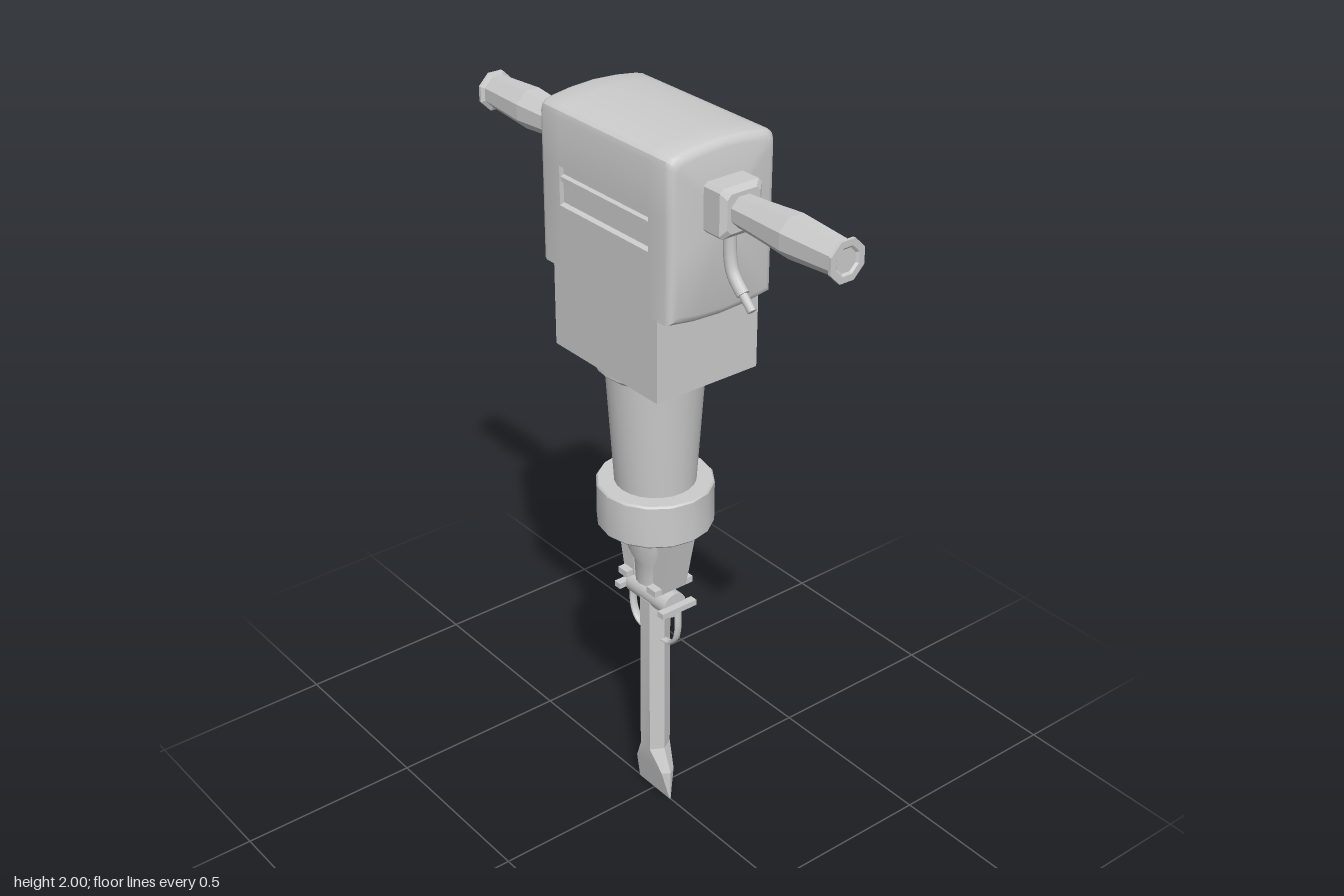
import * as THREE from 'three';
import { mergeVertices, toCreasedNormals } from 'three/addons/utils/BufferGeometryUtils.js';

const grey = new THREE.MeshStandardMaterial({ color: 0xcccccc });
const flat = new THREE.MeshStandardMaterial({ color: 0xcccccc, flatShading: true });

function add(parent, name, geometry, x = 0, y = 0, z = 0, material = grey) {
  const mesh = new THREE.Mesh(geometry, material);
  mesh.name = name;
  mesh.position.set(x, y, z);
  parent.add(mesh);
  return mesh;
}

// Skin equal-length rings of [x, y, z] points and cap both ends with fans
function loft(rings, crease = 0.6) {
  const n = rings[0].length, points = rings.flat(), faces = [];
  for (let r = 0; r < rings.length - 1; r++) {
    for (let i = 0; i < n; i++) {
      const a = r * n + i, b = r * n + (i + 1) % n;
      faces.push([a, b, b + n], [a, b + n, a + n]);
    }
  }
  for (const r of [0, rings.length - 1]) {
    const centre = [0, 1, 2].map(k => rings[r].reduce((s, p) => s + p[k], 0) / n);
    const c = points.push(centre) - 1;
    for (let i = 0; i < n; i++) {
      const a = r * n + i, b = r * n + (i + 1) % n;
      faces.push(r === 0 ? [c, b, a] : [c, a, b]);
    }
  }
  // Face outwards whichever way the rings run
  const v = points.map(p => new THREE.Vector3(...p));
  const volume = faces.reduce((s, [a, b, c]) => s + v[a].dot(v[b].clone().cross(v[c])), 0);
  if (volume < 0) faces.forEach(f => f.reverse());
  const g = new THREE.BufferGeometry();
  g.setAttribute('position', new THREE.Float32BufferAttribute(points.flat(), 3));
  g.setIndex(faces.flat());
  return toCreasedNormals(g, crease);
}

function turned(profile, sides, crease = 0.6) {
  const g = new THREE.LatheGeometry(profile.map(p => new THREE.Vector2(...p)), sides);
  g.deleteAttribute('uv');
  g.deleteAttribute('normal');
  return toCreasedNormals(mergeVertices(g), crease);
}

// Head cross-section; slot = 1 sinks the vent, inset shrinks the outline
function headRing(x, inset, slot) {
  const half = [
    [0.155, 1.577], [0.155, 1.74], [0.143, 1.745], [0.143, 1.795], [0.151, 1.8],
    [0.151, 1.812], [0.143, 1.817], [0.143, 1.835], [0.155, 1.84], [0.155, 1.96],
    [0.151, 1.975], [0.14, 1.984], [0.12, 1.989], [0.07, 1.996],
  ].map(([z, y], i) => [i > 1 && i < 8 && !slot ? 0.155 : z, y]);
  const mirror = half.slice().reverse().map(([z, y]) => [-z, y]);
  const outline = [[0, 1.562], [0.08, 1.566], ...half, [0, 2], ...mirror, [-0.08, 1.566]];
  return outline.map(([z, y]) => [x, 1.78 + (y - 1.78) * (1 - inset / 0.22), z * (1 - inset / 0.155)]);
}

function buildBody(model) {
  const sections = [
    [0.25, 0.022, 0], [0.246, 0.01, 0], [0.238, 0.003, 0], [0.228, 0, 0], [0.168, 0, 0], [0.168, 0, 1],
  ];
  const rings = [
    ...sections.map(([x, i, s]) => headRing(-x, i, s)),
    ...sections.slice().reverse().map(([x, i, s]) => headRing(x, i, s)),
  ];
  add(model, 'headHousing', loft(rings));
  add(model, 'lowerHousing', new THREE.BoxGeometry(0.4, 0.25, 0.308), 0, 1.485, 0);
  add(model, 'barrel', turned([
    [0, 1.365], [0.152, 1.365], [0.152, 1.348], [0.135, 1.333], [0.126, 1.333], [0.105, 1.005], [0, 1.005],
  ].reverse(), 24));
  add(model, 'collarRing', turned([
    [0, 0.888], [0.148, 0.888], [0.152, 0.893], [0.152, 1.005], [0.148, 1.01], [0, 1.01],
  ], 16, 0.45));
}

function buildNose(model) {
  add(model, 'noseCore', turned([
    [0, 0.705], [0.052, 0.705], [0.055, 0.77], [0.073, 0.81], [0.075, 0.89], [0, 0.89],
  ], 16));
  // Tapering plates on both sides, each with a foot
  for (const s of [-1, 1]) {
    const ring = z => [[0.04, 0.705], [0.078, 0.705], [0.118, 0.89], [0.04, 0.89]].map(([x, y]) => [s * x, y, z]);
    add(model, 'nosePlate', loft([ring(-0.04), ring(0.04)]));
    add(model, 'noseFoot', new THREE.BoxGeometry(0.035, 0.018, 0.124), s * 0.06, 0.713, 0);
  }
}

function buildRetainer(model) {
  const pin = new THREE.CylinderGeometry(0.036, 0.036, 0.164, 16).rotateZ(Math.PI / 2);
  add(model, 'retainerPin', pin, 0, 0.657, 0);
  for (const s of [-1, 1]) {
    add(model, 'retainerBar', new THREE.BoxGeometry(0.022, 0.016, 0.112), s * 0.091, 0.654, 0);
    // Flat spring hook curling in below the pin
    const path = new THREE.CatmullRomCurve3([
      [0.094, 0.655], [0.095, 0.59], [0.085, 0.552], [0.065, 0.531], [0.035, 0.525],
    ].map(([x, y]) => new THREE.Vector3(s * x, y, 0)));
    const hook = add(model, 'springHook', new THREE.TubeGeometry(path, 16, 0.005, 8));
    hook.scale.z = 2.4;
  }
}

function buildChisel(model) {
  // Hexagonal shank flattening into a wide wedge: height, half width, flat half width, half depth
  const rings = [
    [0.645, 0.04, 0.02, 0.035], [0.16, 0.04, 0.02, 0.035], [0.09, 0.068, 0.055, 0.021], [0, 0.068, 0.066, 0.002],
  ].map(([y, w, f, d]) => [[w, 0], [f, d], [-f, d], [-w, 0], [-f, -d], [f, -d]].map(([x, z]) => [x, y, z]));
  add(model, 'chisel', loft(rings, 0.2));
}

function buildHandle(model, s) {
  const handle = new THREE.Group();
  handle.name = s > 0 ? 'leftHandle' : 'rightHandle';
  handle.position.y = 1.85;
  model.add(handle);
  // Square mount with cut corners
  const block = (x, r, c) => [[r, c], [c, r], [-c, r], [-r, c], [-r, -c], [-c, -r], [c, -r], [r, -c]]
    .map(([y, z]) => [s * x, y, z]);
  add(handle, 'handleMount', loft([
    block(0.24, 0.061, 0.052), block(0.305, 0.061, 0.052), block(0.317, 0.048, 0.036),
  ], 0.2));
  // Eight-sided grip, swollen in the middle, with an end flange
  const profile = [
    [0, 0.31], [0.04, 0.31], [0.044, 0.38], [0.053, 0.49], [0.043, 0.642],
    [0.053, 0.647], [0.053, 0.655], [0.036, 0.655], [0.03, 0.65], [0, 0.65],
  ].map(p => new THREE.Vector2(...p));
  const grip = new THREE.LatheGeometry(profile, 8).rotateY(Math.PI / 8).rotateZ(-s * Math.PI / 2);
  add(handle, 'grip', grip, 0, 0, 0, flat);
}

function buildCord(model) {
  const points = [[0.272, 1.8], [0.273, 1.73], [0.282, 1.69], [0.3, 1.665], [0.322, 1.645], [0.354, 1.615]]
    .map(([x, y]) => new THREE.Vector3(x, y, 0));
  add(model, 'cordSleeve', new THREE.TubeGeometry(new THREE.CatmullRomCurve3(points.slice(0, 5)), 16, 0.016, 10));
  const sleeveEnd = new THREE.CircleGeometry(0.016, 10).rotateX(Math.PI / 2).rotateZ(0.82);
  add(model, 'sleeveEnd', sleeveEnd, 0.322, 1.645, 0);
  const tip = new THREE.CylinderGeometry(0.011, 0.011, 0.05, 10).rotateZ(0.82);
  add(model, 'cordTip', tip, 0.336, 1.631, 0);
}

export function createModel() {
  const model = new THREE.Group();
  model.name = 'demolitionHammer';
  buildBody(model);
  buildNose(model);
  buildRetainer(model);
  buildChisel(model);
  for (const s of [-1, 1]) buildHandle(model, s);
  buildCord(model);
  return model;
}
